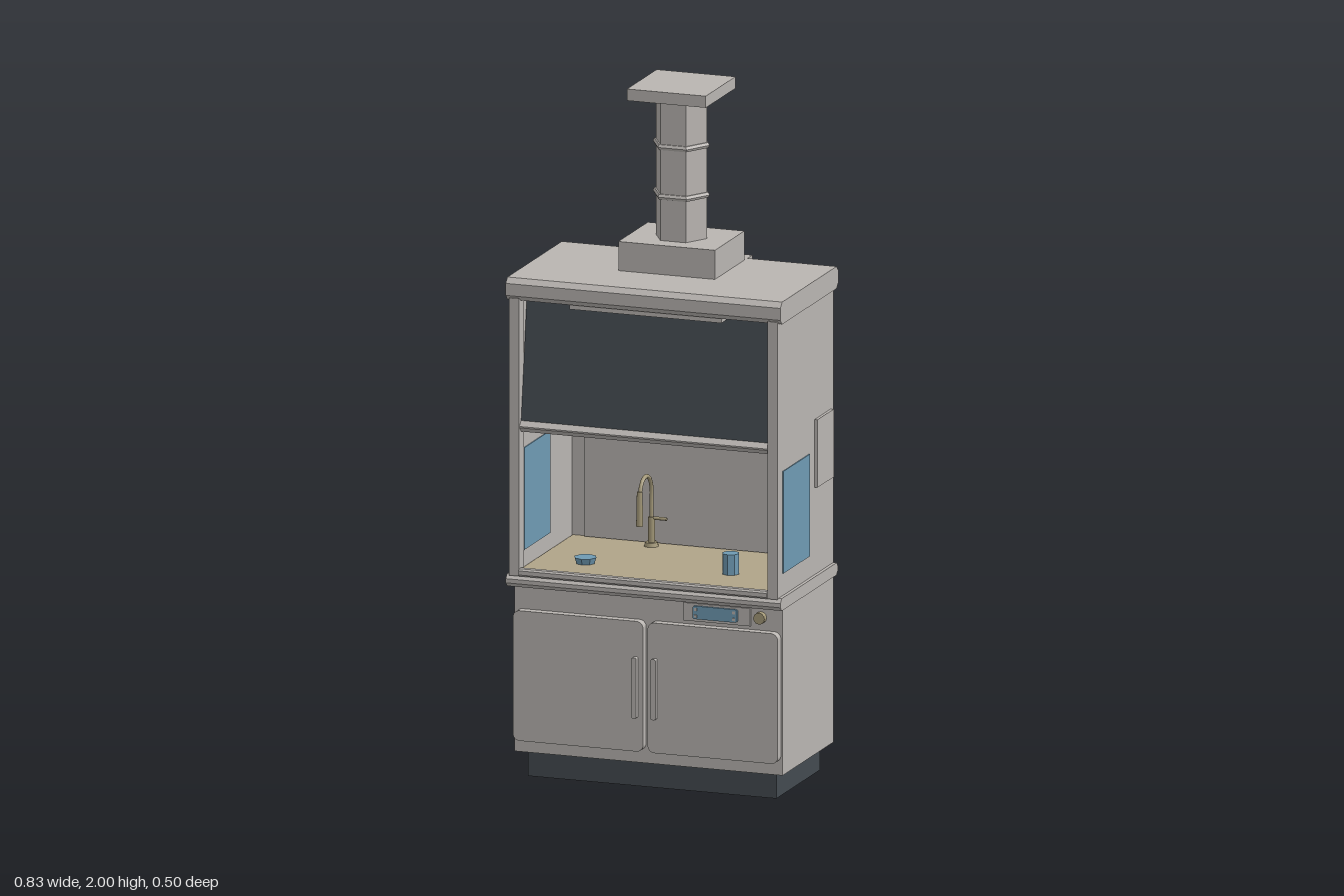
import * as THREE from 'three';

const mat = (name, color) => Object.assign(new THREE.MeshStandardMaterial({ color }), { name });

export function createModel() {
  const root = new THREE.Group();
  root.name = 'fumeHood';
  const grey = mat('warm grey enamel', 0xb9b5b1);
  const dark = mat('dark slate', 0x434a50);
  const blue = mat('blue glass', 0x6f9ab3);
  const beige = mat('beige worktop', 0xb0a488);
  const brass = mat('dull brass', 0xa39878);

  const add = (name, geo, material, parent = root) => {
    const m = new THREE.Mesh(geo, material);
    m.name = name;
    parent.add(m);
    return m;
  };
  // Box given by its limits on each axis
  const box = (name, material, [x0, x1], [y0, y1], [z0, z1]) => {
    const g = new THREE.BoxGeometry(x1 - x0, y1 - y0, z1 - z0);
    g.translate((x0 + x1) / 2, (y0 + y1) / 2, (z0 + z1) / 2);
    return add(name, g, material);
  };
  // Faceted geometry with hard edges
  const flat = (geo) => {
    const g = geo.toNonIndexed();
    g.computeVertexNormals();
    return g;
  };
  // Bar along x with chamfered long edges
  const bar = (name, material, halfX, [y0, y1], [z0, z1], c) => {
    const a = -z1, b = -z0;
    const s = new THREE.Shape([
      [a + c, y0], [b - c, y0], [b, y0 + c], [b, y1 - c],
      [b - c, y1], [a + c, y1], [a, y1 - c], [a, y0 + c],
    ].map(([x, y]) => new THREE.Vector2(x, y)));
    const g = new THREE.ExtrudeGeometry(s, { depth: halfX * 2, bevelEnabled: false });
    g.translate(0, 0, -halfX).rotateY(Math.PI / 2);
    return add(name, g, material);
  };
  // Upright plate with rounded corners
  const plate = (name, material, [x0, x1], [y0, y1], [z0, z1], r) => {
    const s = new THREE.Shape();
    s.absarc(x1 - r, y0 + r, r, -Math.PI / 2, 0);
    s.absarc(x1 - r, y1 - r, r, 0, Math.PI / 2);
    s.absarc(x0 + r, y1 - r, r, Math.PI / 2, Math.PI);
    s.absarc(x0 + r, y0 + r, r, Math.PI, Math.PI * 1.5);
    const g = new THREE.ExtrudeGeometry(s, { depth: z1 - z0, bevelEnabled: false, curveSegments: 4 });
    return add(name, g.translate(0, 0, z0), material);
  };

  // Base cabinet
  box('plinth', dark, [-0.375, 0.375], [0, 0.077], [-0.185, 0.17]);
  box('cabinet', grey, [-0.405, 0.405], [0.077, 0.57], [-0.212, 0.2]);
  for (const s of [-1, 1]) {
    const span = (a, b) => (s > 0 ? [a, b] : [-b, -a]);
    plate('door', grey, span(0.007, 0.4), [0.115, 0.495], [0.2, 0.226], 0.02);
    plate('doorHandle', grey, span(0.022, 0.036), [0.215, 0.392], [0.226, 0.242], 0.004);
  }

  // Controls
  box('controlPanel', grey, [0.108, 0.31], [0.506, 0.558], [0.2, 0.208]);
  plate('controlDisplay', blue, [0.138, 0.273], [0.514, 0.552], [0.208, 0.214], 0.006);
  for (const x of [0.148, 0.263])
    for (const y of [0.523, 0.543])
      box('controlButton', grey, [x - 0.004, x + 0.004], [y - 0.004, y + 0.004], [0.213, 0.217]);
  add('controlKnob', flat(new THREE.CylinderGeometry(0.017, 0.017, 0.02, 12).rotateX(Math.PI / 2)), brass)
    .position.set(0.34, 0.533, 0.208);

  // Worktop
  bar('counterSlab', grey, 0.415, [0.566, 0.602], [-0.222, 0.245], 0.012);
  box('workSurface', beige, [-0.376, 0.376], [0.6, 0.618], [-0.2, 0.225]);
  bar('frontLip', grey, 0.375, [0.6, 0.622], [0.222, 0.248], 0.005);

  // Hood shell
  for (const s of [-1, 1]) {
    const side = s > 0 ? 'left' : 'right';
    const span = (a, b) => (s > 0 ? [a, b] : [-b, -a]);
    box(side + 'Wall', grey, span(0.378, 0.405), [0.6, 1.41], [-0.212, 0.2]);
    box(side + 'Post', grey, span(0.376, 0.405), [0.6, 1.41], [0.2, 0.243]);
    box(side + 'Window', blue, span(0.375, 0.408), [0.667, 0.965], [-0.012, 0.2]);
  }
  box('backWall', grey, [-0.38, 0.38], [0.6, 1.41], [-0.212, -0.195]);
  box('backBaffle', grey, [-0.335, 0.335], [0.62, 1.39], [-0.195, -0.18]);
  bar('topSlab', grey, 0.415, [1.402, 1.467], [-0.225, 0.245], 0.015);
  box('lampHousing', grey, [-0.23, 0.23], [1.388, 1.404], [0.19, 0.225]);
  box('electricalPanel', grey, [0.405, 0.414], [0.857, 1.055], [-0.19, -0.058]);
  box('rearDuct', grey, [-0.147, 0.146], [0.93, 1.467], [-0.25, -0.2]);

  // Tilted sash and its grip
  const sash = add('sash', new THREE.BoxGeometry(0.752, 0.36, 0.012), dark);
  sash.position.set(0, 1.223, 0.195);
  sash.rotation.x = -0.13;
  bar('sashGrip', grey, 0.376, [1.018, 1.05], [0.205, 0.238], 0.014);

  // Exhaust stack
  const cz = -0.068;
  box('stackCollar', grey, [-0.147, 0.145], [1.465, 1.552], [-0.188, 0.051]);
  const hex = (r, h) => flat(new THREE.CylinderGeometry(r, r, h, 6).rotateY(Math.PI / 6 * 3));
  add('stackPipe', hex(0.077, 0.43), grey).position.set(-0.001, 1.76, cz);
  for (const y of [1.68, 1.825]) {
    const ring = flat(new THREE.TorusGeometry(0.077, 0.009, 6, 6).rotateX(Math.PI / 2));
    add('stackRing', ring, grey).position.set(-0.001, y, cz);
  }
  box('stackCap', grey, [-0.12, 0.118], [1.966, 2], [-0.188, 0.053]);

  // Gooseneck tap
  const tap = new THREE.Group();
  tap.name = 'tap';
  tap.position.set(-0.122, 0.618, -0.15);
  root.add(tap);
  const neck = new THREE.CatmullRomCurve3([
    [0, 0, 0], [0, 0.1, 0], [0, 0.175, 0], [0, 0.205, 0.02],
    [0, 0.214, 0.05], [0, 0.2, 0.08], [0, 0.16, 0.095], [0, 0.1, 0.095],
  ].map((p) => new THREE.Vector3(...p)));
  add('tapNeck', new THREE.TubeGeometry(neck, 24, 0.006, 8), brass, tap);
  add('tapBase', new THREE.CylinderGeometry(0.018, 0.021, 0.012, 12), brass, tap).position.y = 0.006;
  add('tapBody', new THREE.CylinderGeometry(0.01, 0.01, 0.08, 10), brass, tap).position.y = 0.045;
  add('tapNozzle', new THREE.CylinderGeometry(0.008, 0.01, 0.1, 10), brass, tap).position.set(0, 0.13, 0.095);
  add('tapLever', new THREE.CylinderGeometry(0.005, 0.005, 0.045, 8).rotateZ(Math.PI / 2), brass, tap)
    .position.set(0.024, 0.082, 0);

  // Glassware on the worktop
  add('dish', flat(new THREE.CylinderGeometry(0.033, 0.027, 0.018, 8)), blue).position.set(-0.228, 0.627, 0.1);
  add('beaker', flat(new THREE.CylinderGeometry(0.025, 0.025, 0.06, 8)), blue).position.set(0.2, 0.648, 0.07);

  return root;
}
